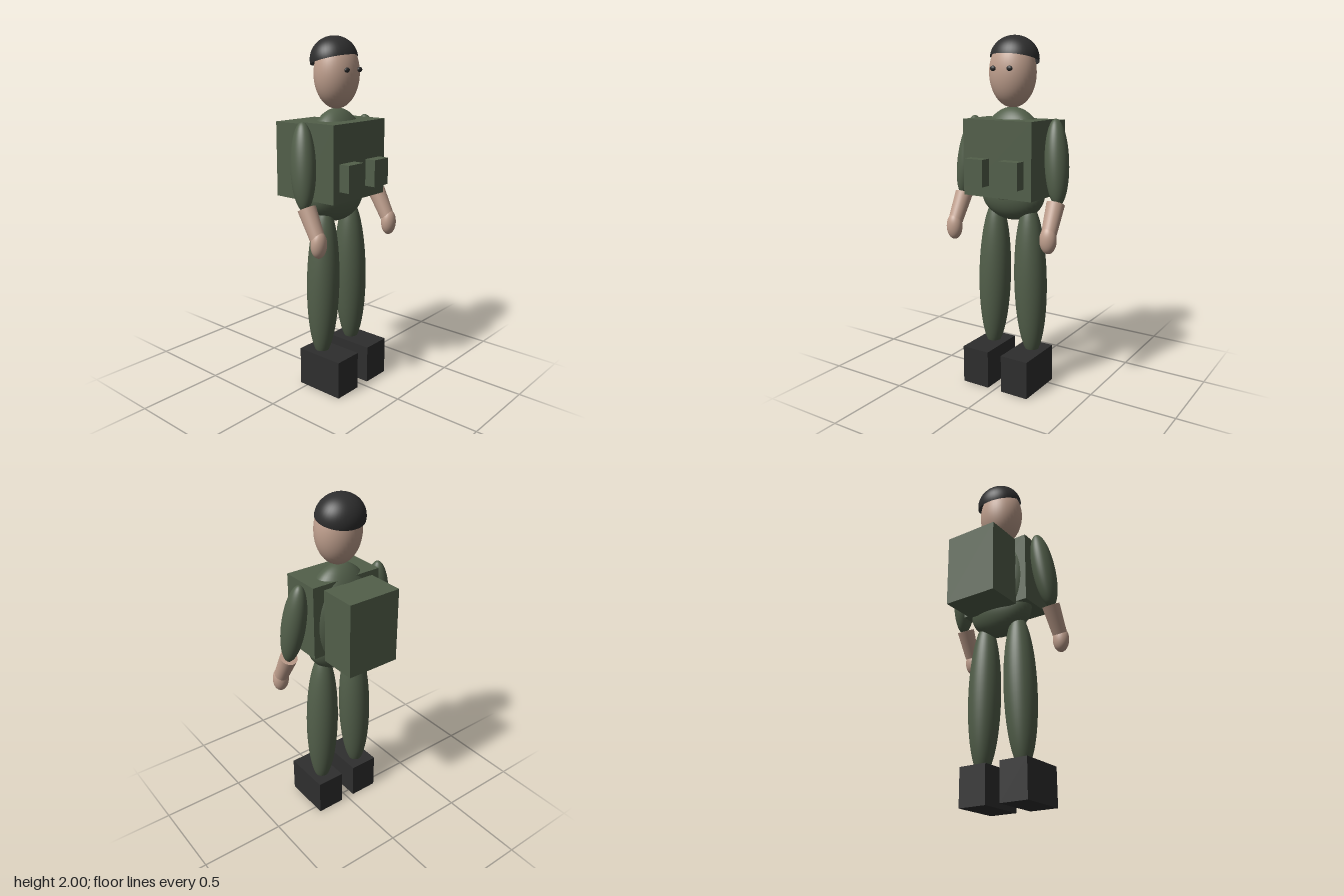
import * as THREE from 'three';

export function createModel() {
  const model = new THREE.Group();
  const mat = (name, color) => Object.assign(new THREE.MeshStandardMaterial({ color }), { name });
  const green = mat('olive green cloth', 0x525f4a);
  const skin = mat('skin', 0xc0a08e);
  const black = mat('black', 0x2e2e2e);
  const dome = black.clone();
  dome.name = 'black hair';
  dome.side = THREE.DoubleSide;

  const add = (name, geometry, material, [x, y, z]) => {
    const mesh = new THREE.Mesh(geometry, material);
    mesh.name = name;
    mesh.position.set(x, y, z);
    model.add(mesh);
    return mesh;
  };
  const ellipsoid = (name, material, centre, [rx, ry, rz]) =>
    add(name, new THREE.SphereGeometry(1, 40, 28).scale(rx, ry, rz), material, centre);
  // box given by its low and high corners
  const box = (name, material, a, b) =>
    add(name, new THREE.BoxGeometry(b[0] - a[0], b[1] - a[1], b[2] - a[2]), material,
      a.map((v, i) => (v + b[i]) / 2));
  // turn a mesh's y axis along a direction
  const aim = (mesh, x, y, z) =>
    mesh.quaternion.setFromUnitVectors(new THREE.Vector3(0, 1, 0), new THREE.Vector3(x, y, z).normalize());

  // head and hair
  ellipsoid('head', skin, [0, 1.8, 0.04], [0.135, 0.19, 0.12]);
  const hair = add('hair',
    new THREE.SphereGeometry(1, 40, 20, 0, Math.PI * 2, 0, Math.PI * 0.51).scale(0.141, 0.126, 0.126),
    dome, [0, 1.874, 0.021]);
  hair.rotation.x = -0.26;

  // body
  ellipsoid('torso', green, [0, 1.3, 0.04], [0.22, 0.315, 0.14]);
  ellipsoid('hips', green, [0, 1.13, 0.04], [0.2, 0.154, 0.112]);
  box('vest', green, [-0.22, 1.125, -0.035], [0.22, 1.55, 0.207]);
  box('backpack', green, [-0.161, 1.1, -0.273], [0.161, 1.53, -0.05]);

  // paired parts
  for (const [side, s] of [['left', 1], ['right', -1]]) {
    ellipsoid(side + 'Eye', black, [s * 0.053, 1.822, 0.157], [0.018, 0.014, 0.011]);

    const pocket = box(side + 'Pocket', green, [0.05, 1.19, 0.2], [0.172, 1.34, 0.272]);
    pocket.position.x *= s;

    const sleeve = ellipsoid(side + 'Sleeve', green, [s * 0.29, 1.325, 0.055], [0.065, 0.237, 0.071]);
    aim(sleeve, -s * 0.053, 0.47, -0.06);

    const forearm = add(side + 'Forearm', new THREE.CylinderGeometry(0.051, 0.042, 0.17, 32), skin,
      [s * 0.309, 1.032, 0.133]);
    aim(forearm, -s * 0.005, 0.145, -0.077);
    ellipsoid(side + 'Hand', skin, [s * 0.312, 0.925, 0.183], [0.048, 0.076, 0.042]);

    const leg = ellipsoid(side + 'Leg', green, [s * 0.122, 0.63, 0.045], [0.094, 0.455, 0.093]);
    aim(leg, -s * 0.025, 0.9, 0);

    const boot = box(side + 'Boot', black, [0.045, 0, -0.05], [0.217, 0.22, 0.243]);
    boot.position.x *= s;
  }
  return model;
}
